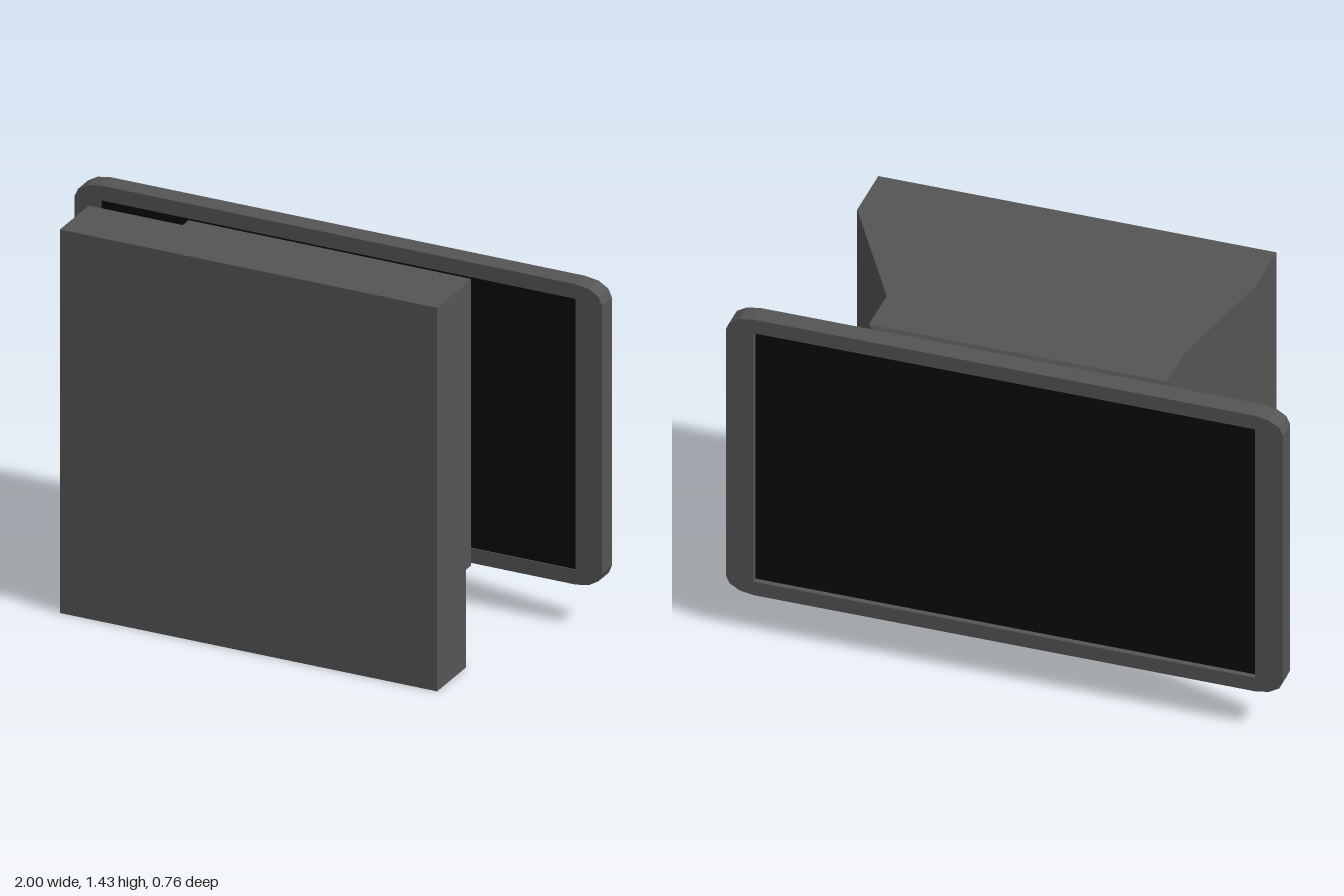
import * as THREE from 'three';

const CY = 0.715; // height of the common axis

export function createModel() {
  const model = new THREE.Group();
  const grey = new THREE.MeshStandardMaterial({ color: 0x555555, flatShading: true });
  const black = new THREE.MeshStandardMaterial({ color: 0x0a0a0a, flatShading: true });

  const add = (name, geometry, material, y, z) => {
    const mesh = new THREE.Mesh(geometry, material);
    mesh.name = name;
    mesh.position.set(0, y, z);
    model.add(mesh);
  };

  // Square stepped housing: [half width, z] from the back to the front
  const steps = [[0, -0.27], [0.465, -0.27], [0.535, -0.237], [0.535, -0.053], [0.715, 0.16], [0.715, 0.378], [0, 0.378]];
  const profile = steps.map(([half, z]) => new THREE.Vector2(half * Math.SQRT2, z));
  const housing = new THREE.LatheGeometry(profile, 4, Math.PI / 4).rotateX(Math.PI / 2).toNonIndexed();
  housing.computeVertexNormals();
  add('housing', housing, grey, CY, 0);

  // Short neck between housing and screen
  add('neck', new THREE.BoxGeometry(0.355, 0.355, 0.06), grey, CY, -0.285);

  // Screen frame with faceted elliptical corners and a rectangular opening
  const W = 1, H = 0.56, rx = 0.1, ry = 0.06;
  const outline = new THREE.Shape();
  const corners = [[1, 1], [-1, 1], [-1, -1], [1, -1]];
  corners.forEach(([sx, sy], i) => {
    for (let k = 0; k <= 3; k++) {
      const a = (i + k / 3) * Math.PI / 2;
      const x = sx * (W - rx) + rx * Math.cos(a);
      const y = sy * (H - ry) + ry * Math.sin(a);
      if (i + k === 0) outline.moveTo(x, y);
      else outline.lineTo(x, y);
    }
  });
  outline.closePath();
  const w = 0.9, h = 0.505;
  outline.holes.push(new THREE.Path([[-w, -h], [-w, h], [w, h], [w, -h]].map(p => new THREE.Vector2(...p))));
  const frame = new THREE.ExtrudeGeometry(outline, { depth: 0.076, bevelEnabled: false });
  add('screenFrame', frame, grey, CY + 0.003, -0.378);

  // Dark display panel, recessed from the back
  add('screenPanel', new THREE.BoxGeometry(2 * w, 2 * h, 0.052), black, CY + 0.003, -0.332);

  return model;
}
